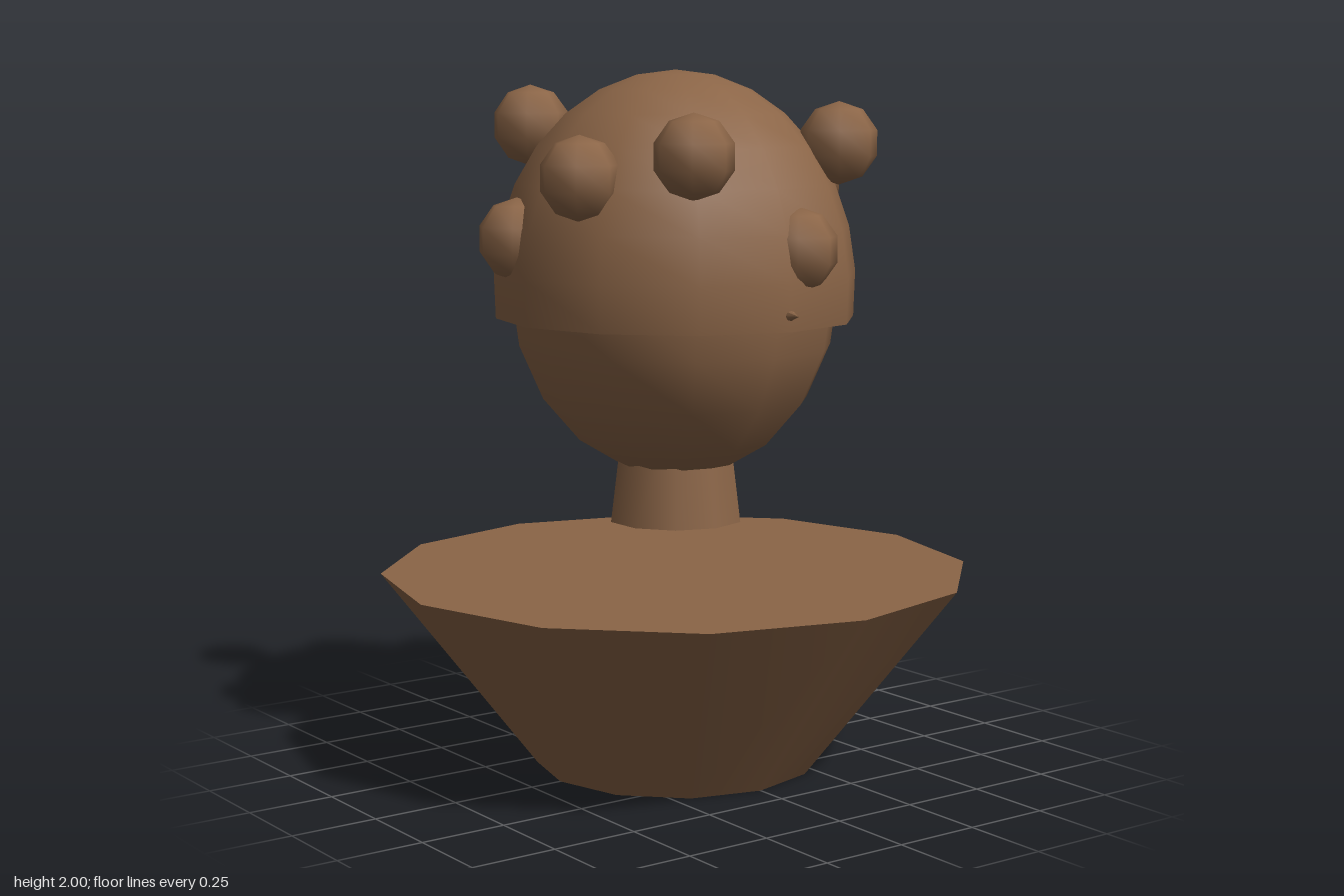
import * as THREE from 'three';

export function createModel() {
  const model = new THREE.Group();
  model.name = 'bust';

  const brown = new THREE.MeshStandardMaterial({ color: 0x8b6547, side: THREE.DoubleSide });
  brown.name = 'brown';

  function add(name, geometry, x, y, z) {
    const mesh = new THREE.Mesh(geometry, brown);
    mesh.name = name;
    mesh.position.set(x, y, z);
    model.add(mesh);
    return mesh;
  }

  // Shoulders: a flared twelve-sided block
  add('shoulders', new THREE.CylinderGeometry(0.85, 0.405, 0.57, 12), 0, 0.285, 0);

  // Neck, floating above the shoulders and running up into the head
  add('neck', new THREE.CylinderGeometry(0.16, 0.195, 0.28, 10), 0, 0.855, 0);

  // Head: an upright ellipsoid
  const headY = 1.39;
  add('head', new THREE.SphereGeometry(1, 12, 10), 0, headY, 0).scale.set(0.466, 0.547, 0.482);

  // Hair cap: an open dome ending just below the middle of the head
  const dome = new THREE.SphereGeometry(1, 12, 8, 0, Math.PI * 2, 0, Math.PI * 0.547);
  add('hairCap', dome, 0, headY, 0).scale.set(0.514, 0.61, 0.532);

  // Nose: a small cone whose tip pokes out of the cap
  add('nose', new THREE.ConeGeometry(0.034, 0.08, 8), 0, 1.345, 0.52).rotation.x = Math.PI / 2;

  // Curls: a ring of nine low-poly balls at uneven heights
  const curl = new THREE.SphereGeometry(0.117, 7, 5);
  const heights = [1.67, 1.795, 1.515, 1.77, 1.71, 1.53, 1.84, 1.62, 1.605];
  heights.forEach((y, i) => {
    const a = (i / heights.length) * Math.PI * 2;
    add('curl' + (i + 1), curl, 0.461 * Math.cos(a), y, 0.461 * Math.sin(a));
  });

  return model;
}
